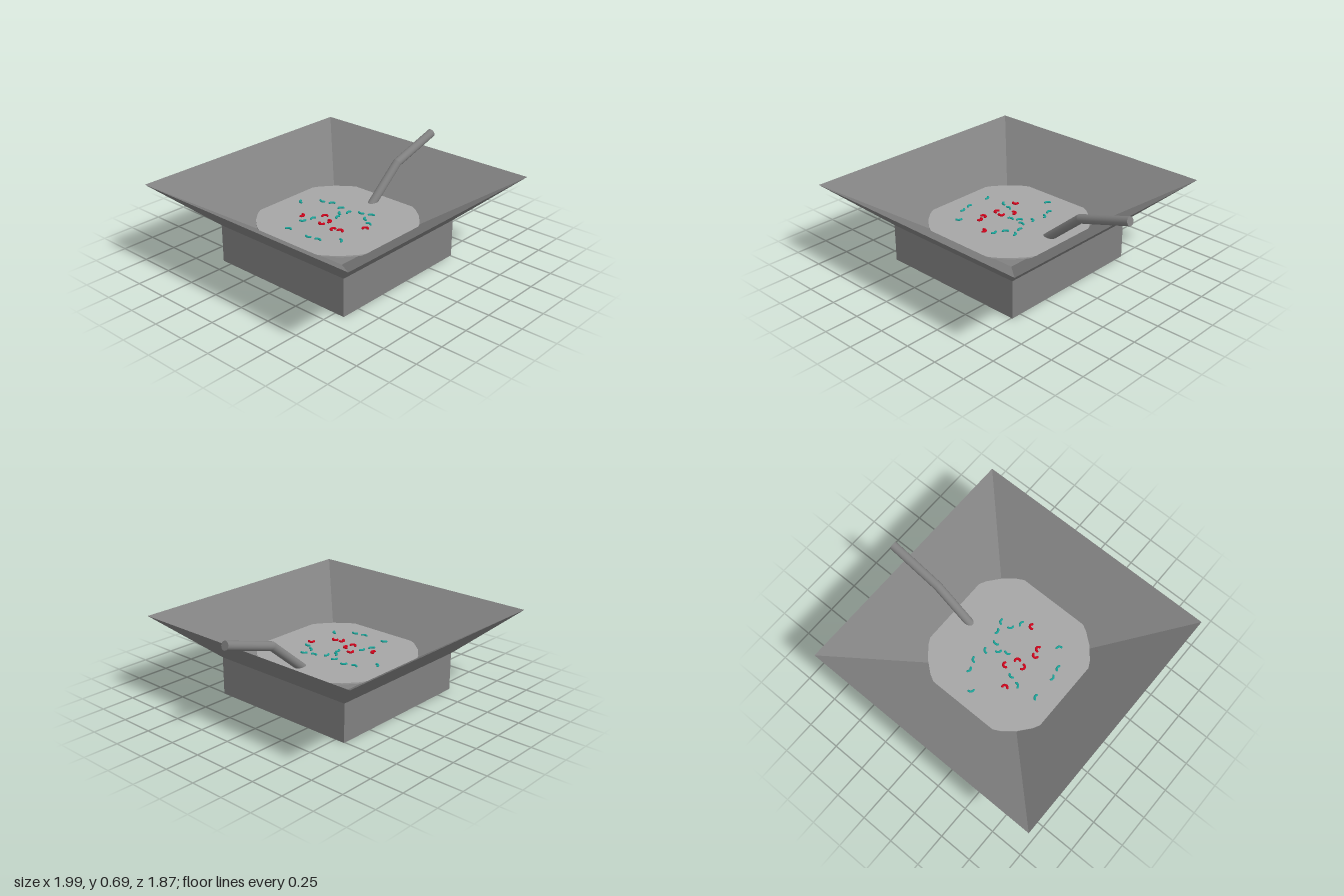
import * as THREE from 'three';

const mat = (name, color) => {
  const m = new THREE.MeshStandardMaterial({ color });
  m.name = name;
  return m;
};

export function createModel() {
  const group = new THREE.Group();
  const gray = mat('bowl gray', 0x808080);
  const light = mat('light gray', 0xa6a6a6);
  const red = mat('red', 0xd0021b);
  const teal = mat('teal', 0x1aa398);
  const cx = -0.067;
  const surfaceY = 0.315;

  const add = (name, geometry, material, x = 0, y = 0, z = 0) => {
    const mesh = new THREE.Mesh(geometry, material);
    mesh.name = name;
    mesh.position.set(x, y, z);
    group.add(mesh);
    return mesh;
  };

  // Square bowl on a box foot: a four-sided turned profile of half widths
  const profile = [[0, 0], [0.575, 0], [0.575, 0.28], [0.933, 0.6], [0.4, 0.247], [0, 0.247]]
    .map(([half, y]) => new THREE.Vector2(half * Math.SQRT2, y));
  const bowl = new THREE.LatheGeometry(profile, 4, Math.PI / 4).toNonIndexed();
  bowl.computeVertexNormals();
  add('bowl', bowl, gray, cx);

  // Round surface of the contents, its sides cut off by the bowl walls
  add('contents', new THREE.CylinderGeometry(0.573, 0.573, 0.01, 32), light, cx, surfaceY - 0.005);

  // Bent handle: two straight rods meeting in a rounded joint
  const points = [[0.28, 0.285], [0.58, 0.54], [0.985, 0.662]]
    .map(([x, y]) => new THREE.Vector3(x, y, 0));
  const radius = 0.032;
  for (let i = 0; i < 2; i++) {
    const dir = points[i + 1].clone().sub(points[i]);
    const rod = add(i ? 'handleUpper' : 'handleLower',
      new THREE.CylinderGeometry(radius, radius, dir.length(), 24), gray);
    rod.position.copy(points[i]).addScaledVector(dir, 0.5);
    rod.quaternion.setFromUnitVectors(new THREE.Vector3(0, 1, 0), dir.normalize());
  }
  add('handleJoint', new THREE.SphereGeometry(radius, 24, 16), gray, 0.58, 0.54);

  // Small curved pieces on the surface: [x, z, direction of the bulge in degrees]
  const pieces = (name, material, ringRadius, tube, arc, list) => {
    for (const [x, z, degrees] of list) {
      const geo = new THREE.TorusGeometry(ringRadius, tube, 8, 10, arc);
      geo.rotateZ(THREE.MathUtils.degToRad(degrees) - arc / 2);
      geo.translate(
        -ringRadius * 0.75 * Math.cos(THREE.MathUtils.degToRad(degrees)),
        -ringRadius * 0.75 * Math.sin(THREE.MathUtils.degToRad(degrees)), 0);
      geo.rotateX(-Math.PI / 2);
      add(name, geo, material, x, surfaceY + 0.004, z);
      // Rounded ends
      for (const side of [-1, 1]) {
        const a = THREE.MathUtils.degToRad(degrees) + side * arc / 2;
        const b = THREE.MathUtils.degToRad(degrees);
        add(name + 'End', new THREE.SphereGeometry(tube, 8, 6), material,
          x + ringRadius * (Math.cos(a) - 0.75 * Math.cos(b)), surfaceY + 0.004,
          z - ringRadius * (Math.sin(a) - 0.75 * Math.sin(b)));
      }
    }
  };

  pieces('tealPiece', teal, 0.024, 0.008, 1.7, [
    [-0.045, -0.385, 140], [0.065, -0.275, 180], [0.09, -0.2, 45], [-0.42, -0.135, 20],
    [-0.265, -0.15, 235], [-0.19, -0.125, 80], [0.07, -0.095, 50], [-0.005, -0.04, 140],
    [-0.06, -0.01, 100], [0.05, -0.005, 90], [-0.42, 0.05, 190], [-0.405, 0.13, 10],
    [0.1, 0.07, 190], [0.125, 0.145, 30], [0.045, 0.155, 140], [0.005, 0.225, 0],
    [-0.315, 0.255, -40],
  ]);
  pieces('redPiece', red, 0.018, 0.009, 3.0, [
    [-0.205, -0.205, -70], [-0.1, -0.095, 50], [-0.22, -0.02, 190], [-0.145, 0, -50],
    [-0.225, 0.09, 90], [-0.2, 0.15, 10], [-0.06, 0.25, 35],
  ]);

  return group;
}
